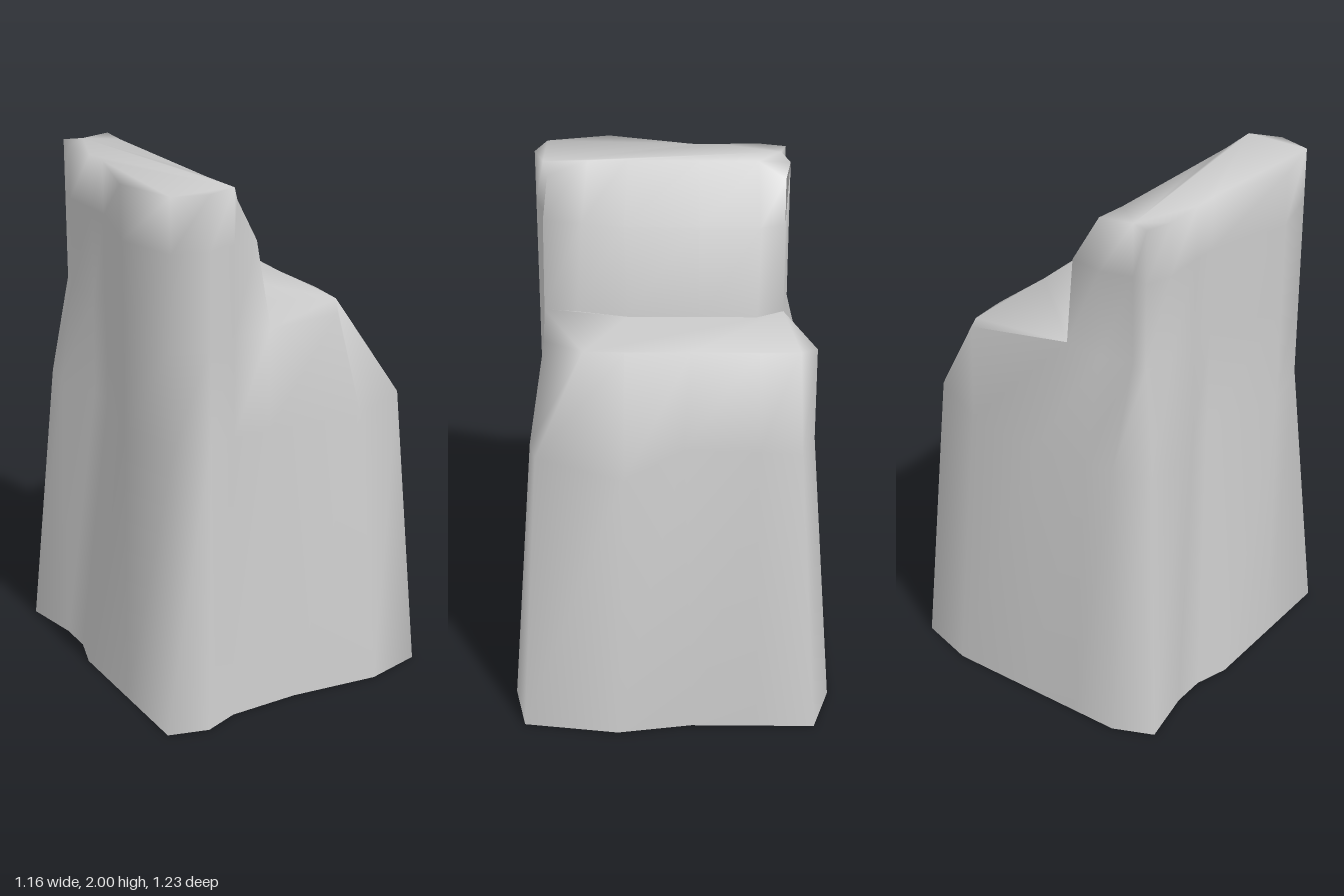
import * as THREE from 'three';

// Outlines run from the front left corner, across the front, round the right,
// back and left sides. Each point is [x, z] or [x, z, y].
const foot = [
  [-0.58, 0.565], [-0.43, 0.61], [-0.3, 0.565], [-0.03, 0.565], [0.31, 0.61], [0.53, 0.56],
  [0.58, 0.2], [0.53, -0.08], [0.53, -0.33], [0.53, -0.55], [0.31, -0.615], [-0.03, -0.615],
  [-0.25, -0.615], [-0.43, -0.615], [-0.58, -0.55], [-0.54, -0.33], [-0.54, -0.2], [-0.58, -0.07], [-0.58, 0.25],
];
const shoulder = [
  [-0.5, 0.485], [-0.37, 0.525], [-0.25, 0.485], [-0.1, 0.485], [0.27, 0.525], [0.46, 0.49, 1.12],
  [0.5, 0.17, 1.05], [0.46, -0.05, 1.16], [0.48, -0.32, 1.16], [0.46, -0.475, 1.14], [0.27, -0.53], [-0.03, -0.545, 1.06],
  [-0.25, -0.53], [-0.37, -0.53], [-0.5, -0.47], [-0.53, -0.33], [-0.47, -0.17], [-0.465, -0.07], [-0.565, 0.25],
];
const ledge = [
  [-0.5, 0.485], [-0.37, 0.525], [-0.25, 0.485], [-0.1, 0.485], [0.2, 0.465], [0.29, 0.32],
  [0.3, 0.17], [0.29, -0.07], [0.3, -0.32], [0.29, -0.47], [0.26, -0.53], [-0.09, -0.42],
  [-0.25, -0.44], [-0.37, -0.41], [-0.44, -0.43], [-0.47, -0.33], [-0.465, -0.17], [-0.465, -0.07], [-0.565, 0.25],
];

// Inner wall of the tall part: foot, shoulder and rim, from front to back
const wallFoot = [[-0.08, 0.36], [-0.03, 0.17], [-0.03, -0.1], [-0.03, -0.32]];
const wallMid = [[-0.16, 0.485], [-0.13, 0.34], [-0.09, 0.18], [-0.09, -0.1], [-0.09, -0.33], [-0.12, -0.42]];
const wallTop = [[-0.23, 0.47, 1.95], [-0.26, 0.32], [-0.26, 0.17], [-0.26, -0.1], [-0.26, -0.32], [-0.23, -0.425, 1.94]];

function buildRock() {
  const positions = [];
  const index = [];

  // Adds points at a height and returns their vertex numbers
  const addRing = (points, height) => points.map(([x, z, y = height]) => {
    positions.push(x, y, z);
    return positions.length / 3 - 1;
  });

  // Joins two closed rings with a band of faces
  const loft = (lower, upper) => lower.forEach((a, i) => {
    const j = (i + 1) % lower.length;
    index.push(a, lower[j], upper[j], a, upper[j], upper[i]);
  });

  // Closes a ring with an upward-facing top
  const cap = (ring) => {
    const flat = ring.map((v) => new THREE.Vector2(positions[v * 3], -positions[v * 3 + 2]));
    for (const [a, b, c] of THREE.ShapeUtils.triangulateShape(flat, [])) {
      const area = flat[b].clone().sub(flat[a]).cross(flat[c].clone().sub(flat[a]));
      if (area > 0) index.push(ring[a], ring[b], ring[c]);
      else index.push(ring[a], ring[c], ring[b]);
    }
  };

  // Body with open underside
  const low = addRing(foot, 0);
  const mid = addRing(shoulder, 1.08);
  const step = addRing(ledge, 1.465);
  loft(low, mid);
  loft(mid, step);

  // Low top; its edge against the wall has its own vertices for a crisp crease
  const crease = addRing([ledge[11], ...[...wallFoot].reverse()], 1.465);
  cap([...step.slice(3, 11), ...crease]);

  // Tall part
  const towerFoot = [...step.slice(0, 4), ...addRing(wallFoot, 1.465), ...step.slice(11)];
  const towerRing = (wall) => [...ledge.slice(0, 3), ...wall, ...ledge.slice(12)];
  const towerMid = addRing(towerRing(wallMid), 1.8);
  const towerTop = addRing(towerRing(wallTop), 2);
  loft(towerFoot, towerMid);
  loft(towerMid, towerTop);
  cap(towerTop);

  const geometry = new THREE.BufferGeometry();
  geometry.setAttribute('position', new THREE.Float32BufferAttribute(positions, 3));
  geometry.setIndex(index);
  geometry.computeVertexNormals();
  return geometry;
}

export function createModel() {
  const group = new THREE.Group();
  group.name = 'rockPillar';
  const material = new THREE.MeshStandardMaterial({ color: 0xcccccc, side: THREE.DoubleSide });
  const rock = new THREE.Mesh(buildRock(), material);
  rock.name = 'steppedRock';
  group.add(rock);
  return group;
}
